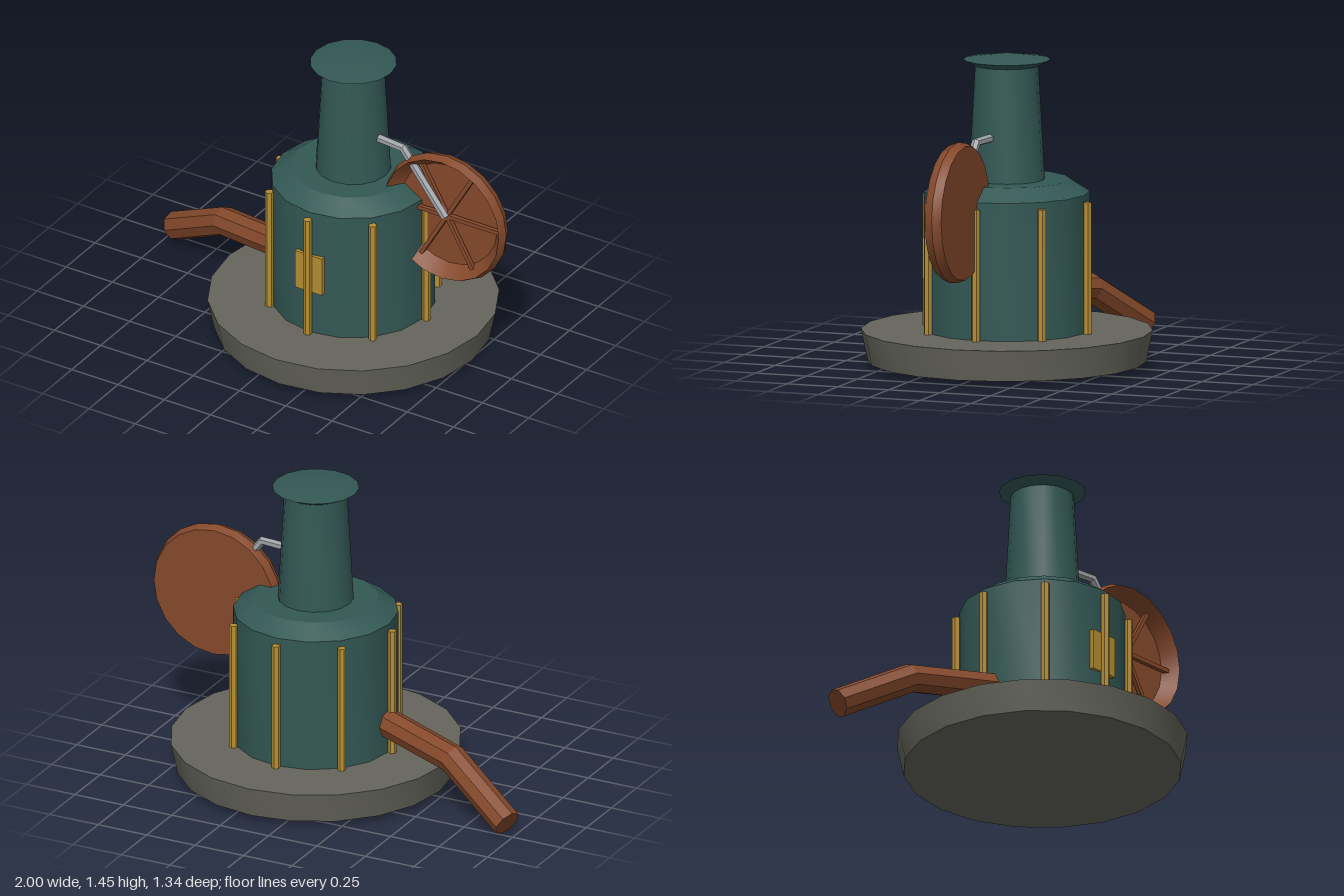
import * as THREE from 'three';
import { toCreasedNormals } from 'three/addons/utils/BufferGeometryUtils.js';
import { ConvexGeometry } from 'three/addons/geometries/ConvexGeometry.js';

const mat = (name, color) => {
  const m = new THREE.MeshStandardMaterial({ color });
  m.name = name;
  return m;
};

// Polyline with mitred corners, sampled exactly at its points
class Polyline extends THREE.Curve {
  constructor(points) {
    super();
    this.points = points.map((p) => new THREE.Vector3(...p));
  }
  getPointAt(u, target = new THREE.Vector3()) {
    return target.copy(this.points[Math.round(u * (this.points.length - 1))]);
  }
  getTangentAt(u, target = new THREE.Vector3()) {
    const p = this.points, i = Math.round(u * (p.length - 1));
    target.set(0, 0, 0);
    if (i > 0) target.add(p[i].clone().sub(p[i - 1]).normalize());
    if (i < p.length - 1) target.add(p[i + 1].clone().sub(p[i]).normalize());
    return target.normalize();
  }
}

export function createModel() {
  const teal = mat('teal paint', 0x335855);
  const brown = mat('copper brown', 0x85492b);
  const gold = mat('brass', 0xb58d33);
  const stone = mat('stone grey', 0x65655c);
  const steel = mat('steel', 0xa0a4a8);

  const model = new THREE.Group();
  const axis = 0.146; // x of the tower's centre line

  const add = (name, geometry, material, x = 0, y = 0, z = 0, parent = model) => {
    const mesh = new THREE.Mesh(geometry, material);
    mesh.name = name;
    mesh.position.set(x, y, z);
    parent.add(mesh);
    return mesh;
  };
  const lathe = (profile, sides) => toCreasedNormals(
    new THREE.LatheGeometry(profile.map(([r, y]) => new THREE.Vector2(r, y)), sides), 0.5);

  // Faceted pipe: one closed prism per segment
  const pipe = (name, points, radius, sides, material) => {
    const group = new THREE.Group();
    group.name = name;
    const pos = new THREE.TubeGeometry(new Polyline(points), points.length - 1, radius, sides)
      .attributes.position;
    const ring = (i) => Array.from({ length: sides }, (_, j) =>
      new THREE.Vector3().fromBufferAttribute(pos, i * (sides + 1) + j));
    for (let i = 0; i < points.length - 1; i++) {
      add(name + 'Segment', new ConvexGeometry([...ring(i), ...ring(i + 1)]), material, 0, 0, 0, group);
    }
    model.add(group);
  };

  // Round base and tower
  add('base', lathe([[0, 0.03], [0.64, 0.03], [0.67, 0.175], [0, 0.175]], 20), stone, axis);
  add('boilerBody', lathe([[0, 0.17], [0.38, 0.17], [0.38, 0.815], [0.29, 0.873], [0, 0.873]], 16), teal, axis);
  add('chimney', lathe([[0.175, 0.86], [0.145, 1.405]], 16), teal, axis);
  add('chimneyCap', lathe([[0, 1.4], [0.15, 1.4], [0.2, 1.427], [0, 1.457]], 16), teal, axis);

  // Eight brass ribs around the body
  const ribShape = toCreasedNormals(new THREE.CylinderGeometry(0.02, 0.02, 0.615, 6), 0.5);
  for (let i = 0; i < 8; i++) {
    const a = (i * Math.PI) / 4;
    add('rib', ribShape, gold, axis + 0.395 * Math.sin(a), 0.4775, 0.395 * Math.cos(a));
  }
  add('frontPlate', new THREE.BoxGeometry(0.145, 0.195, 0.03), gold, axis, 0.493, 0.372);

  // Dished wheel with a closed back and six spokes
  const wheel = new THREE.Group();
  wheel.name = 'wheel';
  wheel.position.set(0.672, 0.787, 0);
  model.add(wheel);
  const dish = lathe([[0, 0], [0.31, 0], [0.326, 0.04], [0.31, 0.08], [0.26, 0.012], [0, 0.012]], 20);
  add('wheelDish', dish.rotateX(Math.PI / 2), brown, 0, 0, 0, wheel);
  for (let i = 0; i < 3; i++) {
    const spoke = add('spokePair', new THREE.BoxGeometry(0.56, 0.02, 0.02), brown, 0, 0, 0.03, wheel);
    spoke.rotation.z = (i * Math.PI) / 3;
  }

  // Crank rod from the chimney to the wheel's hub
  pipe('crankRod', [[0.27, 1.08, 0.02], [0.44, 1.08, 0.038], [0.672, 0.787, 0.045]], 0.021, 6, steel);

  // Bent outlet pipe
  pipe('outletPipe', [[-0.1, 0.338, 0.035], [-0.62, 0.265, -0.115], [-0.967, 0.062, -0.243]], 0.068, 8, brown);

  return model;
}
